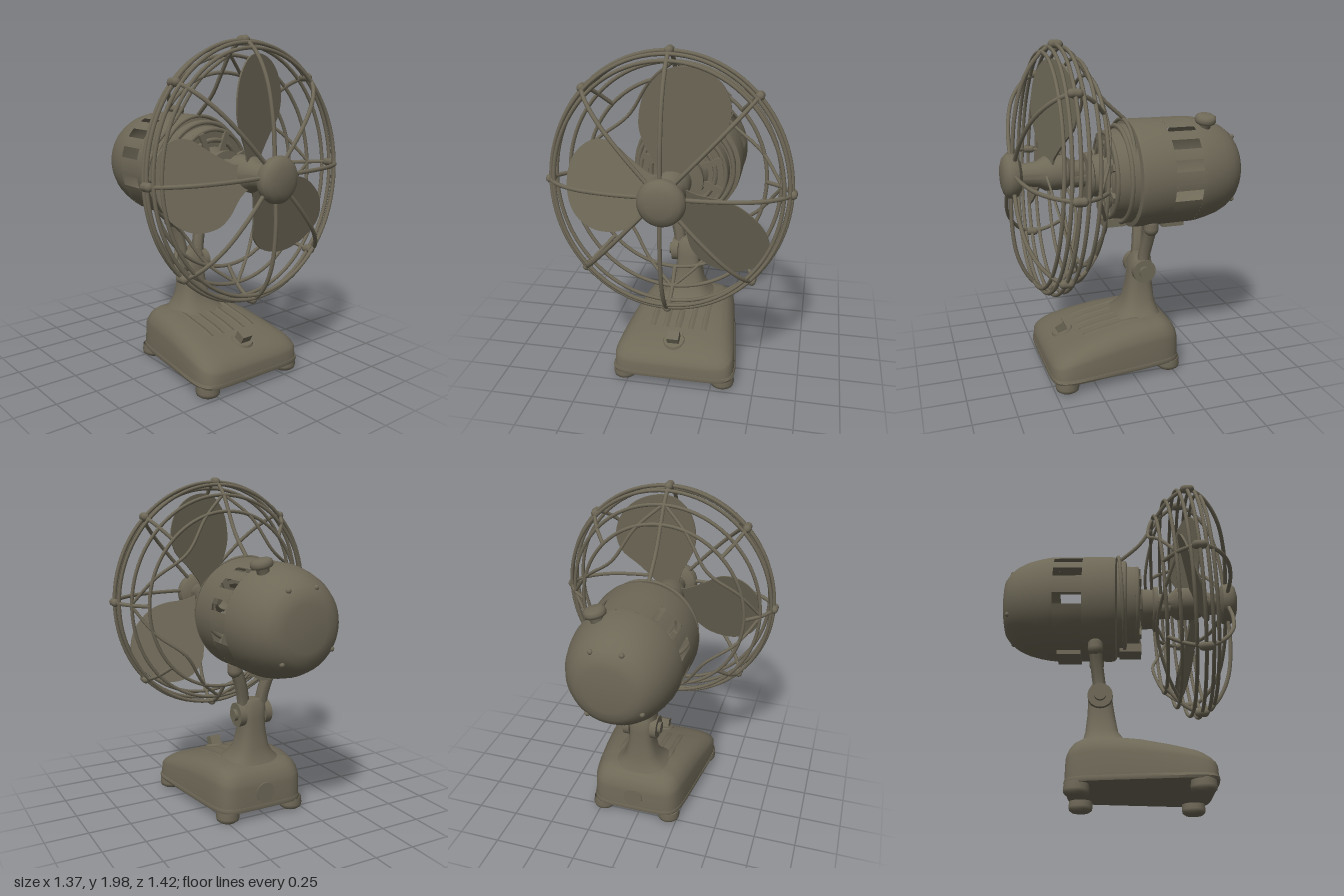
import * as THREE from 'three';
import { toCreasedNormals } from 'three/addons/utils/BufferGeometryUtils.js';

const paint = new THREE.MeshStandardMaterial({ color: 0x6e6857, side: THREE.DoubleSide });
paint.name = 'olive grey enamel';

const V = (x, y, z) => new THREE.Vector3(x, y, z);
const rad = THREE.MathUtils.degToRad;

function add(parent, name, geometry, x = 0, y = 0, z = 0) {
  const mesh = new THREE.Mesh(geometry, paint);
  mesh.name = name;
  mesh.position.set(x, y, z);
  parent.add(mesh);
  return mesh;
}

// Turned part along z; profile points are [z, radius], back to front
function turned(profile, start = 0, length = Math.PI * 2, segments = 48) {
  const pts = profile.map(([z, r]) => new THREE.Vector2(r, z));
  const g = new THREE.LatheGeometry(pts, segments, start, length).rotateX(Math.PI / 2);
  return toCreasedNormals(g, 0.6);
}

// Skin over stacked rings of equal point count
function loft(rings, crease = 0.7) {
  const n = rings[0].length, index = [];
  for (let i = 0; i < rings.length - 1; i++) {
    for (let j = 0; j < n; j++) {
      const a = i * n + j, b = i * n + (j + 1) % n;
      index.push(a, b, a + n, b, b + n, a + n);
    }
  }
  const g = new THREE.BufferGeometry().setFromPoints(rings.flat());
  g.setIndex(index);
  return toCreasedNormals(g, crease);
}

function wire(points, r = 0.011, closed = false, segments = 32) {
  return new THREE.TubeGeometry(new THREE.CatmullRomCurve3(points, closed), segments, r, 7, closed);
}

// Height of the base's sloping top at depth z
function topHeight(z) {
  const p = [[-0.32, 0.29], [-0.2, 0.325], [0, 0.325], [0.2, 0.29], [0.4, 0.235], [0.53, 0.18]];
  for (let i = 1; i < p.length; i++) {
    if (z <= p[i][0]) return THREE.MathUtils.mapLinear(z, p[i - 1][0], p[i][0], p[i - 1][1], p[i][1]);
  }
  return 0.18;
}

// Rounded outline, narrower at the back; the sides draw in faster than the ends
function baseRing(scale, heightAt) {
  const pts = [], soft = v => Math.sign(v) * Math.abs(v) ** 0.29;
  for (let i = 0; i < 96; i++) {
    const a = i / 96 * Math.PI * 2;
    const z = 0.105 - soft(Math.sin(a)) * 0.41 * Math.min(1.01, scale ** 0.5);
    pts.push(V(soft(Math.cos(a)) * (0.314 + 0.125 * z) * scale, heightAt(z), z));
  }
  return pts;
}

function makeBase() {
  const base = new THREE.Group();
  base.name = 'base';
  base.position.x = 0.02;
  const steps = [[1, 0], [0.985, 0.58], [0.96, 0.7], [0.9, 0.82], [0.83, 0.91], [0.72, 0.97], [0.55, 1], [0.25, 1], [0, 1]];
  add(base, 'baseBody', loft(steps.map(([s, f]) => baseRing(s, z => 0.07 + (topHeight(z) - 0.07) * f))));
  add(base, 'baseLip', loft([[0, 0.062], [1.005, 0.062], [1.02, 0.075], [1.005, 0.09], [0.98, 0.09]]
    .map(([s, y]) => baseRing(s, () => y))));

  // Feet
  for (const side of [-1, 1]) {
    for (const [x, z] of [[0.295, 0.425], [0.215, -0.235]]) {
      const foot = [[0, 0], [0.05, 0], [0.066, 0.012], [0.07, 0.03], [0.066, 0.07]].map(p => new THREE.Vector2(...p));
      add(base, 'foot', new THREE.LatheGeometry(foot, 24), side * x, 0, z);
    }
  }

  // Low ribs on the sloping top
  for (let i = -2; i <= 2; i++) {
    const pts = [0.28, 0.2, 0.1, 0, -0.06].map(z => V(i * 0.078, topHeight(z) - 0.02, z));
    add(base, 'rib', wire(pts, 0.027));
  }

  // Switch and rear plate
  add(base, 'switchPlate', new THREE.CylinderGeometry(0.06, 0.07, 0.02, 24), -0.005, 0.238, 0.38).rotation.x = 0.3;
  add(base, 'switchLever', new THREE.BoxGeometry(0.07, 0.07, 0.06), -0.005, 0.262, 0.39).rotation.x = 0.5;
  add(base, 'rearPlate', new THREE.CylinderGeometry(0.06, 0.06, 0.02, 28).rotateX(Math.PI / 2), 0, 0.16, -0.298);
  return base;
}

function makeStand() {
  const stand = new THREE.Group();
  stand.name = 'stand';
  stand.position.x = 0.015;
  // Rows: height, half width, centre z, half depth
  const rows = [[0.3, 0.2, -0.08, 0.16], [0.34, 0.14, -0.095, 0.125], [0.4, 0.1, -0.11, 0.095],
    [0.5, 0.08, -0.115, 0.08], [0.58, 0.075, -0.12, 0.072], [0.66, 0.075, -0.125, 0.065],
    [0.69, 0.05, -0.13, 0.045], [0.695, 0, -0.13, 0]];
  add(stand, 'neck', loft(rows.map(([y, hx, cz, hz]) => Array.from({ length: 32 }, (_, i) => {
    const a = i / 32 * Math.PI * 2, soft = v => Math.sign(v) * Math.abs(v) ** 0.7;
    return V(soft(Math.cos(a)) * hx, y, cz - soft(Math.sin(a)) * hz);
  }))));

  // Tilt joint, with a fork spreading to a pivot on each side of the motor
  add(stand, 'tiltBolt', new THREE.CylinderGeometry(0.035, 0.035, 0.25, 20).rotateZ(Math.PI / 2), 0, 0.6, -0.12);
  for (const side of [-1, 1]) {
    add(stand, 'tiltWasher', new THREE.CylinderGeometry(0.072, 0.072, 0.04, 28).rotateZ(Math.PI / 2), side * 0.085, 0.6, -0.12);
    const arm = [V(side * 0.06, 0.6, -0.12), V(side * 0.065, 0.7, -0.13), V(side * 0.09, 0.8, -0.143), V(side * 0.12, 0.88, -0.15)];
    add(stand, 'forkArm', wire(arm, 0.038));
    add(stand, 'pivot', new THREE.CapsuleGeometry(0.045, 0.03, 6, 20), side * 0.125, 0.895, -0.15);
  }
  return stand;
}

function makeMotor() {
  const motor = new THREE.Group();
  motor.name = 'motor';
  motor.position.set(0.015, 1.2, 0);
  add(motor, 'rearDome', turned([[-0.71, 0], [-0.71, 0.13], [-0.7, 0.18], [-0.67, 0.222], [-0.62, 0.26],
    [-0.56, 0.288], [-0.49, 0.307], [-0.43, 0.318], [-0.4, 0.32]]));
  add(motor, 'frontShell', turned([[-0.23, 0.321], [-0.06, 0.323], [-0.035, 0.318], [-0.03, 0.3]]));

  // Vented band: strips of shell between the slots, given as [angle, half width] in degrees
  const right = [[-15, 6], [17, 6], [40, 5.5], [60, 3]];
  const slots = [...right, ...right.map(([a, w]) => [180 - a, w])].sort((p, q) => p[0] - q[0]);
  slots.forEach(([a, w], i) => {
    const [next, nextW] = i < slots.length - 1 ? slots[i + 1] : [slots[0][0] + 360, slots[0][1]];
    const strip = turned([[-0.4, 0.32], [-0.23, 0.321]], rad(a + w + 90), rad(next - nextW - a - w), 16);
    add(motor, 'ventStrip', strip);
  });

  // Front housing with stepped rings, and shaft collar
  add(motor, 'frontHousing', turned([[-0.03, 0.32], [-0.025, 0.295], [0.02, 0.295], [0.025, 0.265], [0.085, 0.26],
    [0.1, 0.24], [0.1, 0.15], [0.13, 0.125], [0.19, 0.12], [0.2, 0.14], [0.225, 0.14], [0.23, 0.06], [0.3, 0.06]]));
  for (const [r, z] of [[0.285, 0.02], [0.25, 0.095], [0.19, 0.1]]) {
    add(motor, 'housingRing', new THREE.TorusGeometry(r, 0.014, 8, 48), 0, 0, z);
  }
  for (let i = 0; i < 8; i++) {
    const a = (i + 0.5) * Math.PI / 4;
    const rib = add(motor, 'housingRib', new THREE.BoxGeometry(0.12, 0.035, 0.04), Math.cos(a) * 0.19, Math.sin(a) * 0.19, 0.1);
    rib.rotation.z = a;
  }
  add(motor, 'frontBracket', new THREE.BoxGeometry(0.12, 0.05, 0.13), 0, -0.285, 0.055);
  add(motor, 'bottomLug', new THREE.BoxGeometry(0.16, 0.05, 0.14), 0, -0.31, -0.31);

  // Oscillation knob and rear screws
  const knob = new THREE.Group();
  knob.name = 'knob';
  knob.position.set(0.12, 0.25, -0.475);
  knob.rotation.z = -0.25;
  const knobProfile = [[0.035, -0.04], [0.035, 0.05], [0.058, 0.056], [0.063, 0.07], [0.06, 0.09], [0.045, 0.1], [0, 0.102]];
  add(knob, 'knobCap', new THREE.LatheGeometry(knobProfile.map(p => new THREE.Vector2(...p)), 28));
  motor.add(knob);
  for (const a of [65, 110, 215, 305]) {
    add(motor, 'rearScrew', new THREE.SphereGeometry(0.015, 12, 8), Math.cos(rad(a)) * 0.22, Math.sin(rad(a)) * 0.22, -0.67);
  }
  return motor;
}

function makeRotor() {
  const rotor = new THREE.Group();
  rotor.name = 'rotor';
  rotor.position.set(0.01, 1.235, 0);
  add(rotor, 'rotorHub', turned([[0.22, 0.06], [0.3, 0.065], [0.34, 0.1], [0.46, 0.1], [0.5, 0.075], [0.62, 0.06]]));
  add(rotor, 'hubCap', turned([[0.6, 0], [0.6, 0.09], [0.62, 0.12], [0.65, 0.13], [0.675, 0.125], [0.695, 0.105], [0.707, 0.07], [0.71, 0]]));

  const outline = [[-0.07, 0.14], [-0.13, 0.27], [-0.15, 0.38], [-0.12, 0.52], [-0.04, 0.62], [0.06, 0.65],
    [0.18, 0.62], [0.27, 0.54], [0.31, 0.42], [0.28, 0.3], [0.18, 0.2], [0.09, 0.1], [0.06, 0.04], [-0.05, 0.04]];
  const shape = new THREE.Shape();
  shape.moveTo(...outline[13]);
  shape.splineThru(outline.map(p => new THREE.Vector2(...p)));
  // Each blade: turn in degrees, width and reach
  for (const [turn, width, reach] of [[0, 1, 1], [107, 1.07, 0.91], [238, 1, 1]]) {
    const g = new THREE.ExtrudeGeometry(shape, { depth: 0.012, bevelEnabled: false, curveSegments: 50 });
    g.scale(width, reach, 1);
    // Pitch the blade by leaning it back towards its leading edge
    const p = g.attributes.position;
    for (let k = 0; k < p.count; k++) p.setZ(k, p.getZ(k) + 0.445 - 0.33 * p.getX(k) - 0.03 * p.getY(k));
    g.computeVertexNormals();
    add(rotor, 'blade', g).rotation.z = rad(turn);
  }
  return rotor;
}

function makeCage() {
  const cage = new THREE.Group();
  cage.name = 'cage';
  cage.position.set(0, 1.24, 0.42);
  cage.rotation.x = -0.065;
  const at = (a, r, z) => V(Math.cos(a) * r, Math.sin(a) * r * 1.085, z - 0.42);

  // Rim rings and rear rings
  for (const [r, z] of [[0.62, 0.495], [0.648, 0.462], [0.66, 0.42], [0.648, 0.372], [0.595, 0.298], [0.51, 0.23], [0.285, 0]]) {
    const pts = Array.from({ length: 24 }, (_, i) => at(i / 24 * Math.PI * 2, r, z));
    add(cage, 'cageRing', wire(pts, 0.011, true, 96));
  }

  // Spokes with rim clips, and scalloped wires guarding the rear
  const spoke = [[0.08, 0.645], [0.28, 0.637], [0.46, 0.6], [0.58, 0.535], [0.645, 0.465], [0.66, 0.42], [0.645, 0.37], [0.6, 0.305], [0.51, 0.23]];
  const scallop = [[0, 0.6, 0.305], [0.2, 0.5, 0.225], [0.5, 0.41, 0.18], [0.8, 0.5, 0.225], [1, 0.6, 0.305]];
  for (let i = 0; i < 8; i++) {
    const a = i * Math.PI / 4;
    add(cage, 'spoke', wire(spoke.map(([r, z]) => at(a, r, z)), 0.012, false, 48));
    add(cage, 'rimClip', new THREE.CapsuleGeometry(0.025, 0.035, 4, 10).rotateX(Math.PI / 2)).position.copy(at(a, 0.662, 0.42));
    if (i % 2 === 0) {
      add(cage, 'rearScallop', wire(scallop.map(([t, r, z]) => at(a + t * Math.PI / 2, r, z)), 0.01));
    }
  }

  // Strut from the top of the cage back to the motor
  add(cage, 'motorStrut', wire([[0.51, 0.23], [0.4, 0.14], [0.285, -0.01]].map(([r, z]) => at(Math.PI / 2, r, z)), 0.012));
  return cage;
}

export function createModel() {
  const fan = new THREE.Group();
  fan.name = 'deskFan';
  fan.add(makeBase(), makeStand(), makeMotor(), makeRotor(), makeCage());
  return fan;
}
